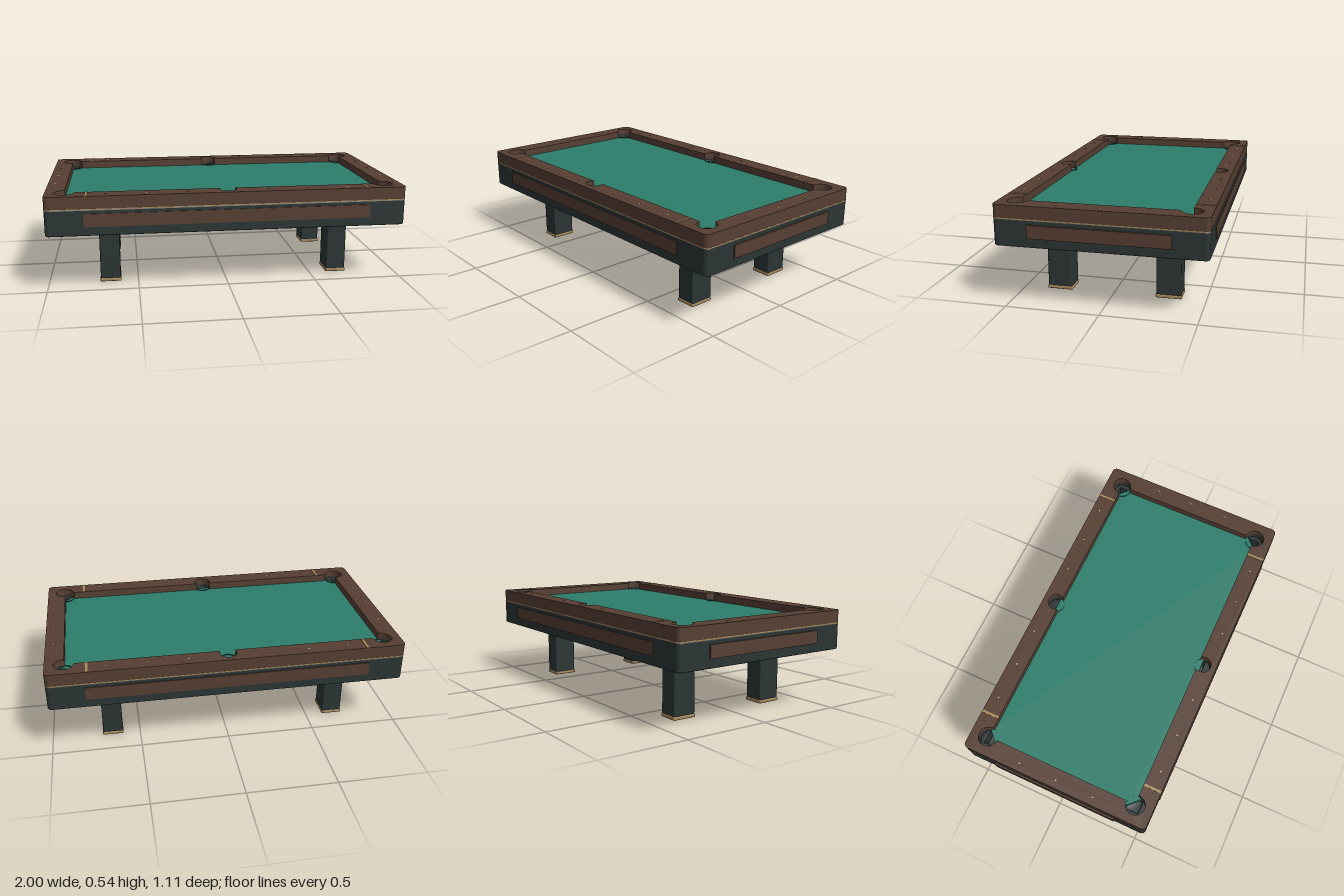
import * as THREE from 'three';
import { RoundedBoxGeometry } from 'three/addons/geometries/RoundedBoxGeometry.js';

const material = (name, color, side = THREE.FrontSide) => {
  const m = new THREE.MeshStandardMaterial({ color, side });
  m.name = name;
  return m;
};

// Rounded rectangle outline, given half sizes
function roundedRect(target, hx, hz, r) {
  target.moveTo(hx, hz - r);
  for (const [cx, cz, a] of [[1, 1, 0], [-1, 1, 1], [-1, -1, 2], [1, -1, 3]]) {
    const start = a * Math.PI / 2;
    target.absarc(cx * (hx - r), cz * (hz - r), r, start, start + Math.PI / 2, false);
  }
  target.closePath();
  return target;
}

// Extrude a plan outline upward from y0 to y1
function slab(shape, y0, y1, bevel = 0) {
  const g = new THREE.ExtrudeGeometry(shape, {
    depth: y1 - y0 - 2 * bevel, curveSegments: 6, bevelEnabled: bevel > 0,
    bevelSize: bevel, bevelOffset: -bevel, bevelThickness: bevel, bevelSegments: 2,
  });
  return g.rotateX(-Math.PI / 2).translate(0, y0 + bevel, 0);
}

// Points along an arc, angles in degrees
function arc(cx, cz, r, from, to, n) {
  return Array.from({ length: n + 1 }, (_, i) => {
    const a = THREE.MathUtils.degToRad(from + (to - from) * i / n);
    return [cx + r * Math.cos(a), cz + r * Math.sin(a)];
  });
}

const SIDE = { x: 0, z: 0.472, r: 0.047 };
const CORNER = { x: 0.888, z: 0.45, r: 0.053 };

// Rail opening: one quarter with half a side pocket and a corner pocket, mirrored
function railOpening() {
  const quarter = [
    ...arc(SIDE.x, SIDE.z, SIDE.r, 84, -20, 9),
    [0.042, 0.445], [0.83, 0.445],
    ...arc(CORNER.x, CORNER.z, CORNER.r, 150, -60, 18),
    [0.885, 0.39],
  ];
  const back = [...quarter].reverse();
  const pts = [
    ...quarter,
    ...back.map(([x, z]) => [x, -z]),
    ...quarter.map(([x, z]) => [-x, -z]),
    ...back.map(([x, z]) => [-x, z]),
  ];
  return new THREE.Path(pts.map(([x, z]) => new THREE.Vector2(x, z)));
}

export function createModel() {
  const group = new THREE.Group();
  const wood = material('brownWood', 0x563f33);
  const dark = material('darkCabinet', 0x2b3534);
  const pocketDark = material('pocketLining', 0x2a3433, THREE.DoubleSide);
  const cloth = material('greenCloth', 0x2c7d6b);
  const brass = material('brass', 0xa88a5c);
  const ivory = material('ivory', 0xcbb894);

  const add = (name, geometry, mat, x = 0, y = 0, z = 0) => {
    const mesh = new THREE.Mesh(geometry, mat);
    mesh.name = name;
    mesh.position.set(x, y, z);
    group.add(mesh);
    return mesh;
  };

  // Hollow cabinet
  const cabinet = roundedRect(new THREE.Shape(), 0.99, 0.55, 0.025);
  cabinet.holes.push(roundedRect(new THREE.Path(), 0.915, 0.475, 0.004));
  add('cabinet', slab(cabinet, 0.325, 0.47, 0.006), dark);

  // Brass line between cabinet and rails
  const line = roundedRect(new THREE.Shape(), 0.991, 0.551, 0.026);
  line.holes.push(roundedRect(new THREE.Path(), 0.975, 0.535, 0.01));
  add('brassLine', slab(line, 0.468, 0.474), brass);

  // Rails with pocket cutouts
  const rails = roundedRect(new THREE.Shape(), 0.99, 0.55, 0.025);
  rails.holes.push(railOpening());
  add('rails', slab(rails, 0.472, 0.542), wood);

  // Playing bed with clipped corners
  const bed = new THREE.Shape([
    [0.905, 0.4], [0.84, 0.465], [-0.84, 0.465], [-0.905, 0.4],
    [-0.905, -0.4], [-0.84, -0.465], [0.84, -0.465], [0.905, -0.4],
  ].map(([x, z]) => new THREE.Vector2(x, z)));
  add('playingBed', slab(bed, 0.45, 0.5), cloth);

  // Pocket cups
  const addPocket = (x, z, r) => {
    const profile = [[0, 0.365], [r * 0.85, 0.365], [r, 0.38], [r, 0.505]];
    add('pocket', new THREE.LatheGeometry(profile.map(([a, b]) => new THREE.Vector2(a, b)), 24),
      pocketDark, x, 0, z);
  };

  const legGeo = new RoundedBoxGeometry(0.113, 0.445, 0.135, 2, 0.008);
  const footGeo = new RoundedBoxGeometry(0.118, 0.02, 0.141, 2, 0.006);
  const sightGeo = new THREE.CylinderGeometry(0.006, 0.006, 0.004, 4);

  for (const s of [-1, 1]) {
    // Side panels
    add('longPanel', new THREE.BoxGeometry(1.57, 0.073, 0.008), wood, 0, 0.411, s * 0.551);
    add('endPanel', new THREE.BoxGeometry(0.012, 0.07, 0.734), wood, s * 0.994, 0.411, 0);
    addPocket(SIDE.x, s * SIDE.z, SIDE.r);

    // Sights along the rails
    for (const x of [-0.665, -0.443, -0.222, 0.222, 0.443, 0.665])
      add('railSight', sightGeo, ivory, x, 0.5415, s * 0.502);
    for (const z of [-0.222, 0, 0.222])
      add('railSight', sightGeo, ivory, s * 0.948, 0.5415, z);

    for (const t of [-1, 1]) {
      addPocket(s * CORNER.x, t * CORNER.z, CORNER.r);
      add('brassInlay', new THREE.BoxGeometry(0.014, 0.004, 0.1), brass, s * 0.768, 0.5425, t * 0.498);
      add('leg', legGeo, dark, s * 0.656, 0.2375, t * 0.3);
      add('foot', footGeo, brass, s * 0.656, 0.01, t * 0.3);
    }
  }
  return group;
}
